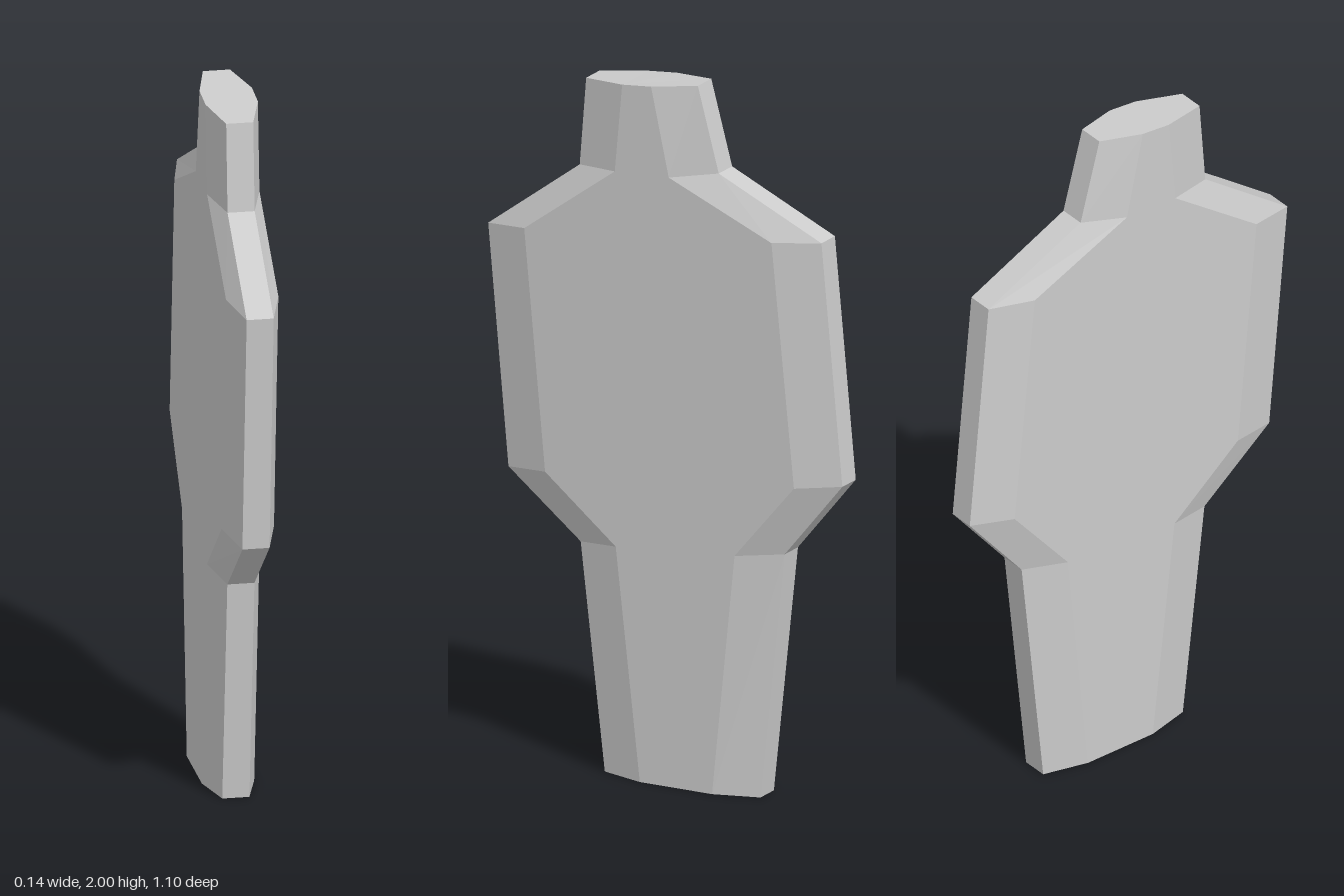
import * as THREE from 'three';

// Cross-sections from bottom to top, each as [z, y] pairs:
// front edge, front bevel, back bevel, back edge
const SECTIONS = [
  [[0.19, 0], [0.06, 0], [-0.165, 0], [-0.295, 0]],
  [[0.265, 0.645], [0.135, 0.66], [-0.235, 0.69], [-0.37, 0.705]],
  [[0.49, 0.825], [0.355, 0.84], [-0.42, 0.91], [-0.55, 0.925]],
  [[0.553, 1.51], [0.42, 1.525], [-0.35, 1.6], [-0.485, 1.61]],
  [[0.268, 1.72], [0.138, 1.73], [-0.03, 1.738], [-0.165, 1.76]],
  [[0.248, 1.97], [0.115, 1.981], [0.025, 1.989], [-0.1, 2]],
];
const FACE_X = 0.0725;
const EDGE_LEFT = 0.035;
const EDGE_RIGHT = -0.04;

// Eight-cornered ring, counter-clockwise seen from above
function ring([front, frontBevel, backBevel, back]) {
  const at = (x, [z, y]) => [x, y, z];
  return [
    at(FACE_X, frontBevel), at(FACE_X, backBevel),
    at(EDGE_LEFT, back), at(EDGE_RIGHT, back),
    at(-FACE_X, backBevel), at(-FACE_X, frontBevel),
    at(EDGE_RIGHT, front), at(EDGE_LEFT, front),
  ];
}

function loft(rings) {
  const n = rings[0].length;
  const index = [];
  // Walls between neighbouring rings
  for (let r = 0; r < rings.length - 1; r++) {
    for (let k = 0; k < n; k++) {
      const a = r * n + k, b = r * n + (k + 1) % n;
      index.push(a, b, b + n, a, b + n, a + n);
    }
  }
  // Bottom and top caps
  const top = (rings.length - 1) * n;
  for (let k = 1; k < n - 1; k++) {
    index.push(0, k + 1, k);
    index.push(top, top + k, top + k + 1);
  }
  const indexed = new THREE.BufferGeometry();
  indexed.setAttribute('position', new THREE.Float32BufferAttribute(rings.flat(2), 3));
  indexed.setIndex(index);
  const geometry = indexed.toNonIndexed();
  geometry.computeVertexNormals();
  return geometry;
}

export function createModel() {
  const group = new THREE.Group();
  group.name = 'bevelledSlab';
  const material = new THREE.MeshStandardMaterial({ color: 0xcccccc, flatShading: true });
  const slab = new THREE.Mesh(loft(SECTIONS.map(ring)), material);
  slab.name = 'slab';
  group.add(slab);
  return group;
}
